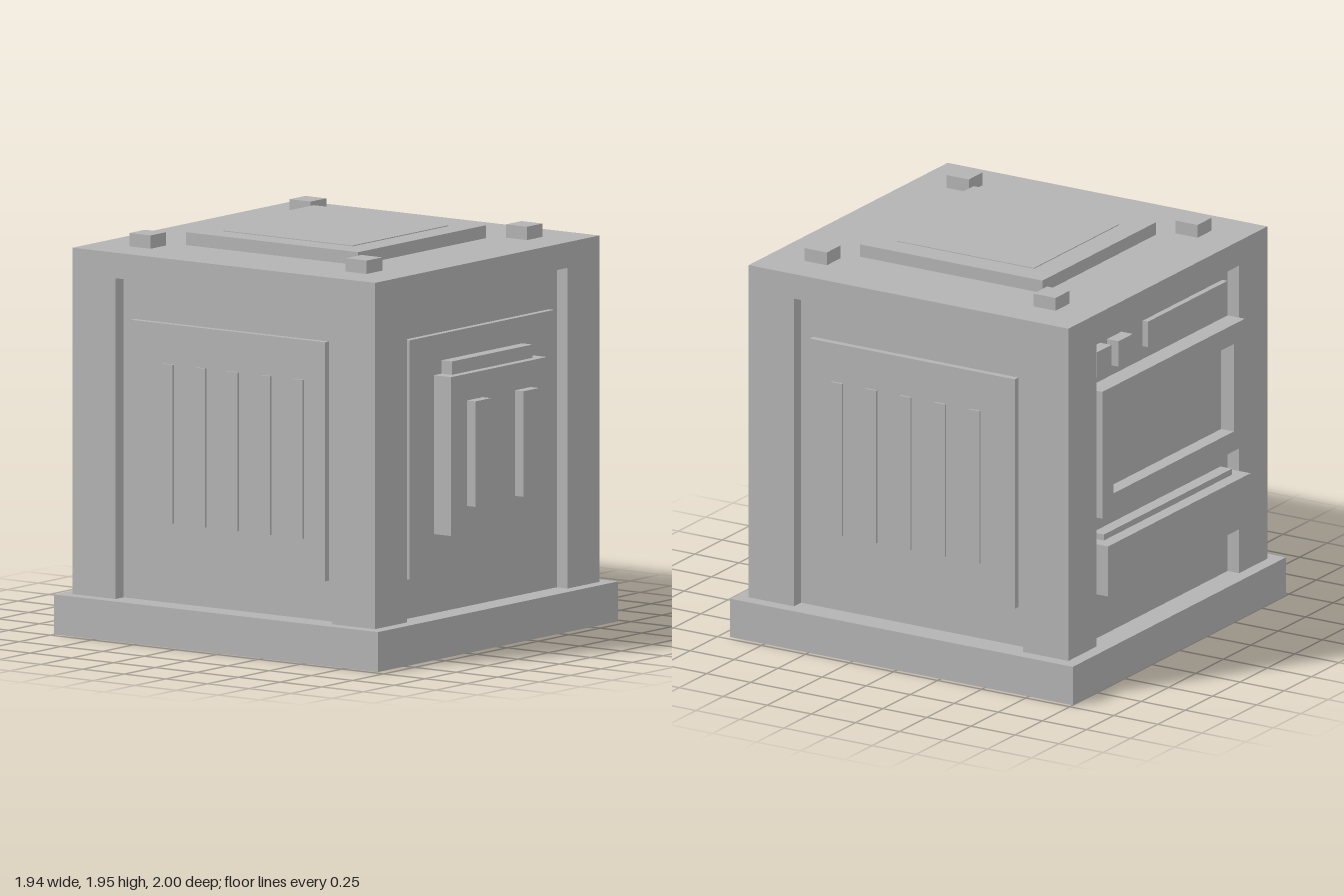
import * as THREE from 'three';

export function createModel() {
  const model = new THREE.Group();
  const grey = new THREE.MeshStandardMaterial({ color: 0xb3b3b3 });
  grey.name = 'plain grey';

  // Box given by its limits on each axis
  function box(name, x0, x1, y0, y1, z0, z1, parent = model) {
    const mesh = new THREE.Mesh(new THREE.BoxGeometry(x1 - x0, y1 - y0, z1 - z0), grey);
    mesh.position.set((x0 + x1) / 2, (y0 + y1) / 2, (z0 + z1) / 2);
    mesh.name = name;
    parent.add(mesh);
    return mesh;
  }

  // Plinth and body: recessed core, corner posts and roof slab
  const Z = -0.0275, half = 0.9075, open = 0.65, core = 0.8425;
  box('plinth', -0.972, 0.972, 0, 0.195, -1, 0.945);
  box('core', -core, core, 0.195, 1.76, Z - core, Z + core);
  box('roof', -half, half, 1.76, 1.885, Z - half, Z + half);
  for (const sx of [-1, 1]) for (const sz of [-1, 1]) {
    const x = sx * (open + half) / 2, z = Z + sz * (open + half) / 2, r = (half - open) / 2;
    box('cornerPost', x - r, x + r, 0.195, 1.76, z - r, z + r);
    // Roof studs
    const bx = sx * 0.648, bz = Z + sz * 0.649;
    box('roofStud', bx - 0.063, bx + 0.063, 1.885, 1.95, bz - 0.063, bz + 0.063);
  }

  // Roof hatch with a thin inner plate
  box('roofHatch', -0.517, 0.517, 1.885, 1.948, Z - 0.517, Z + 0.517);
  box('roofHatchPlate', -0.388, 0.388, 1.948, 1.952, Z - 0.388, Z + 0.388);

  // Side panels with five upright slats each
  const face = 0.875;
  for (const s of [-1, 1]) {
    const side = new THREE.Group();
    side.name = s > 0 ? 'leftSide' : 'rightSide';
    const span = (a, b) => [Math.min(s * a, s * b), Math.max(s * a, s * b)];
    box('sidePanel', ...span(core, face), 0.393, 1.56, Z - 0.583, Z + 0.583, side);
    for (let i = -2; i <= 2; i++) {
      const z = 0.007 + i * 0.195;
      box('sideSlat', ...span(face, face + 0.01), 0.59, 1.365, z - 0.032, z + 0.032, side);
    }
    model.add(side);
  }

  // Front panel, hatch, ledge and two handles
  box('frontPanel', -0.585, 0.585, 0.393, 1.56, Z + core, Z + face);
  box('frontHatch', -0.388, 0.388, 0.59, 1.365, Z + face, 0.95);
  box('hatchLedge', -0.325, 0.325, 1.365, 1.43, Z + face, 0.91);
  for (const s of [-1, 1])
    box('frontHandle', s * 0.194 - 0.064, s * 0.194 + 0.064, 0.72, 1.235, 0.95, 1);

  // Back screen: a frame with a sunken display
  const frame = new THREE.Shape([[-0.65, 0.85], [0.65, 0.85], [0.65, 1.495], [-0.65, 1.495]]
    .map(p => new THREE.Vector2(...p)));
  frame.holes.push(new THREE.Path([[-0.55, 0.95], [-0.55, 1.395], [0.55, 1.395], [0.55, 0.95]]
    .map(p => new THREE.Vector2(...p))));
  const back = Z - core;
  const screenFrame = new THREE.Mesh(
    new THREE.ExtrudeGeometry(frame, { depth: back + 0.967, bevelEnabled: false }), grey);
  screenFrame.position.z = -0.967;
  screenFrame.name = 'screenFrame';
  model.add(screenFrame);
  box('screen', -0.55, 0.55, 0.95, 1.395, -0.895, back);

  // Back console, with a slim rest on top
  box('console', -0.65, 0.65, 0.46, 0.715, -1, back);
  box('consoleRest', -0.585, 0.585, 0.715, 0.745, -0.935, back);

  // Small buttons and strip above the screen
  box('buttonOuter', 0.515, 0.645, 1.56, 1.69, -0.935, back);
  box('buttonInner', 0.32, 0.45, 1.56, 1.69, -0.935, back);
  box('indicatorStrip', -0.6, 0.125, 1.56, 1.69, -0.9, back);

  return model;
}
